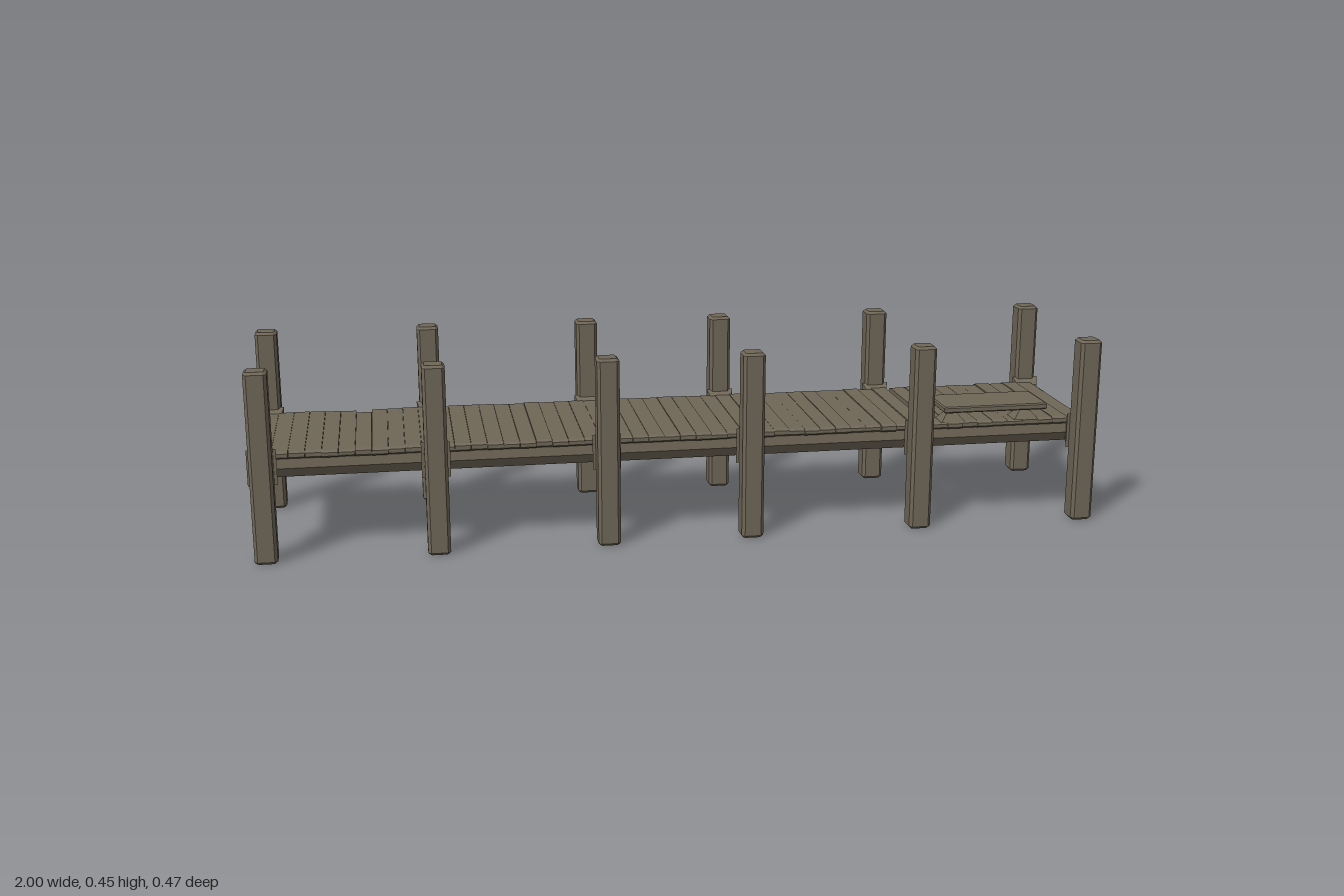
import * as THREE from 'three';

export function createModel() {
  const group = new THREE.Group();
  const wood = new THREE.MeshStandardMaterial({ color: 0x6f6656 });
  wood.name = 'weathered wood';

  // small seeded generator for uneven boards
  let seed = 7;
  const rnd = () => (seed = (seed * 16807) % 2147483647) / 2147483647;

  function add(name, geometry, x = 0, y = 0, z = 0) {
    const mesh = new THREE.Mesh(geometry, wood);
    mesh.name = name;
    mesh.position.set(x, y, z);
    group.add(mesh);
    return mesh;
  }

  // closed polygon extruded along its own z
  function prism(points, depth, bevel = 0) {
    const shape = new THREE.Shape(points.map(([a, b]) => new THREE.Vector2(a, b)));
    return new THREE.ExtrudeGeometry(shape, {
      depth, bevelEnabled: bevel > 0, bevelSize: bevel, bevelThickness: bevel,
      bevelOffset: -bevel, bevelSegments: 1,
    });
  }

  // four-sided frustum, standing on y, from bottom size to top size
  function frustum(w0, d0, w1, d1, h) {
    const g = new THREE.BoxGeometry(1, h, 1);
    const p = g.attributes.position;
    for (let i = 0; i < p.count; i++) {
      const top = p.getY(i) > 0;
      p.setX(i, p.getX(i) * (top ? w1 : w0));
      p.setZ(i, p.getZ(i) * (top ? d1 : d0));
    }
    g.computeVertexNormals();
    return g;
  }

  // posts: chamfered square section, bevelled ends
  const r = 0.026, c = 0.019;
  const postGeo = prism([[-c, -r], [c, -r], [r, -c], [r, c], [c, r], [-c, r], [-r, c], [-r, -c]], 0.434, 0.006);
  postGeo.rotateX(-Math.PI / 2);
  const collarGeo = frustum(0.066, 0.084, 0.05, 0.05, 0.024);
  collarGeo.rotateX(-Math.PI / 2);
  const bracketGeo = prism([[0.19, 0.178], [0.19, 0.235], [0.15, 0.235], [0.15, 0.195]], 0.05);
  bracketGeo.rotateY(-Math.PI / 2);
  bracketGeo.translate(0.025, 0, 0);
  const postX = [-0.973, -0.585, -0.192, 0.147, 0.556, 0.963];
  for (const x of postX) {
    for (const side of [1, -1]) {
      add('post', postGeo, x, 0.008, side * 0.208);
      const turn = side > 0 ? 0 : Math.PI;
      add('postCollar', collarGeo, x, 0.218, side * 0.176).rotation.y = turn;
      add('postBracket', bracketGeo, x, 0, 0).rotation.y = turn;
    }
  }

  // long beams under both edges, with a faceted section
  const beamGeo = prism([[0.138, 0.18], [0.156, 0.185], [0.17, 0.208], [0.166, 0.234], [0.132, 0.234], [0.13, 0.2]], 1.96);
  beamGeo.translate(0, 0, -0.98);
  beamGeo.rotateY(-Math.PI / 2);
  for (const side of [1, -1]) {
    add('longBeam', beamGeo, 0.018 * side, 0, 0).rotation.y = side > 0 ? 0 : Math.PI;
  }
  group.children.filter((m) => m.name === 'longBeam').forEach((m) => { m.position.x = 0.015; });

  // cross beams between the long beams
  for (const x of [-0.585, 0.147, 0.545]) {
    add('crossBeam', new THREE.BoxGeometry(0.035, 0.034, 0.27), x, 0.217, 0);
  }

  // deck boards, laid across in two sections with a gap between
  function deck(x0, x1, count) {
    const w = (x1 - x0) / count;
    for (let i = 0; i < count; i++) {
      const x = x0 + (i + 0.5) * w;
      const notch = Math.abs(x + 0.74) < w / 2 ? 0.028 : 0;
      const back = -0.187 + rnd() * 0.005 + notch;
      const front = 0.183 - rnd() * 0.006;
      const top = 0.247 + rnd() * 0.003;
      const board = prism([[back, 0.236], [back + 0.008, 0.231], [front - 0.008, 0.231],
        [front, 0.236], [front, top - 0.004], [front - 0.01, top], [back + 0.01, top], [back, top - 0.004]], w - 0.0006);
      board.rotateY(-Math.PI / 2);
      add('deckBoard', board, x + w / 2, 0, 0);
    }
  }
  deck(-0.99, 0.58, 42);
  deck(0.594, 0.972, 10);
  add('gapBoard', new THREE.BoxGeometry(0.016, 0.012, 0.09), 0.587, 0.237, 0.135);

  // bench: bevelled seat on two flared legs
  const seatGeo = prism([[-0.127, -0.062], [0.127, -0.062], [0.127, 0.062], [-0.127, 0.062]], 0.009, 0.003);
  seatGeo.rotateX(-Math.PI / 2);
  add('benchSeat', seatGeo, 0.732, 0.288, 0.17);
  for (const x of [0.647, 0.83]) {
    add('benchLegFoot', frustum(0.06, 0.05, 0.026, 0.022, 0.02), x, 0.257, 0.153);
    add('benchLegTop', frustum(0.026, 0.022, 0.056, 0.04, 0.021), x, 0.2765, 0.153);
  }
  return group;
}
